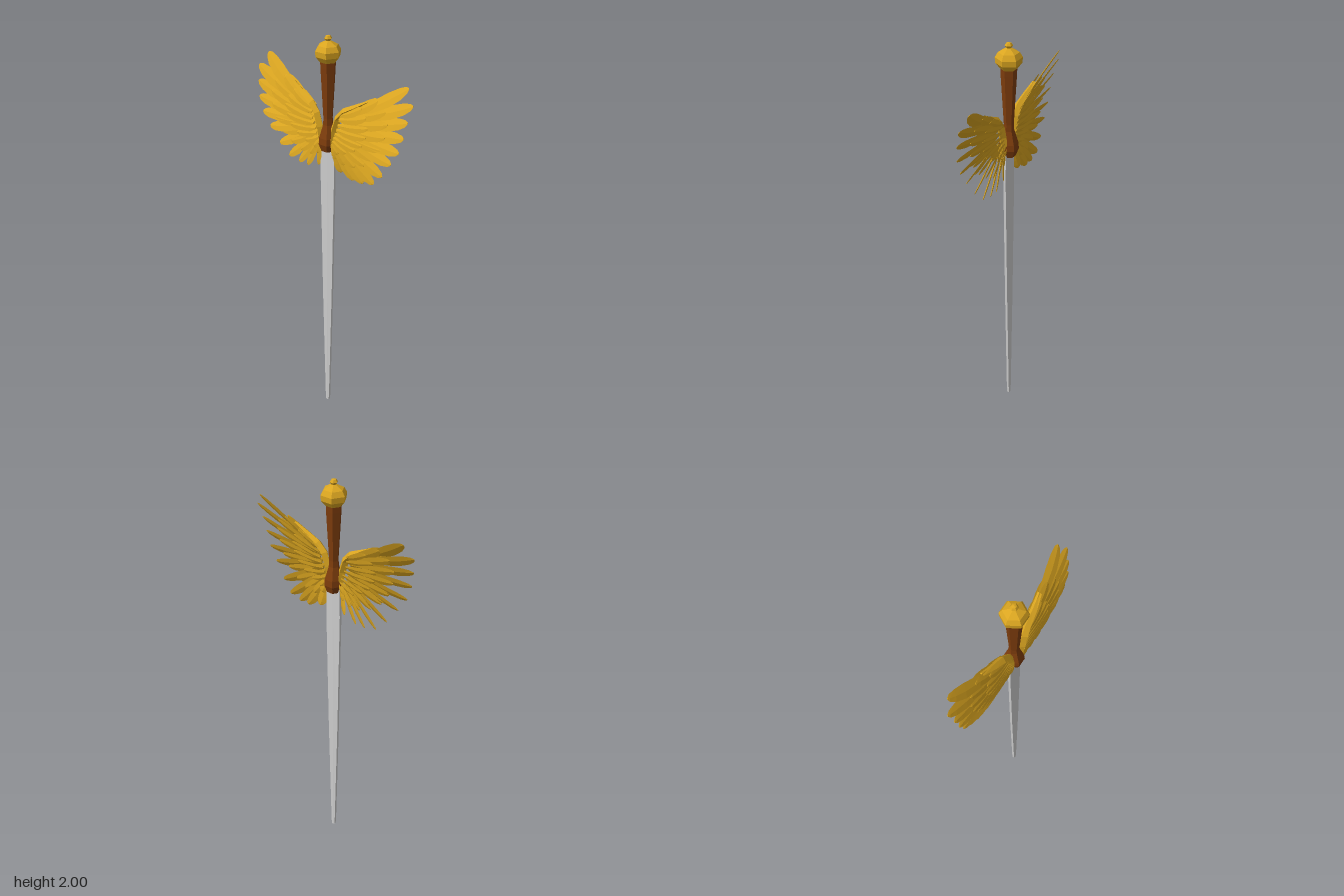
import * as THREE from 'three';
import { mergeGeometries } from 'three/addons/utils/BufferGeometryUtils.js';

const mat = (color) => new THREE.MeshStandardMaterial({ color, flatShading: true });
const v2 = (p) => new THREE.Vector2(p[0], p[1]);

// Closed skin over equal-sized rings of [x, y, z] corners, capped at both ends;
// corners run counter-clockwise when looking back from the last ring
function loft(rings) {
  const n = rings[0].length, pos = rings.flat(2), idx = [];
  for (let i = 0; i < rings.length - 1; i++) {
    for (let j = 0; j < n; j++) {
      const a = i * n + j, b = i * n + (j + 1) % n;
      idx.push(a, b, a + n, b, b + n, a + n);
    }
  }
  const last = (rings.length - 1) * n;
  for (let j = 1; j < n - 1; j++) {
    idx.push(0, j + 1, j, last, last + j, last + j + 1);
  }
  const g = new THREE.BufferGeometry();
  g.setAttribute('position', new THREE.Float32BufferAttribute(pos, 3));
  g.setIndex(idx);
  g.computeVertexNormals();
  return g;
}

// The wing surface sweeps sideways towards its top and bottom
const sweep = (y) => -0.008 + (y > 1.6 ? 0.9 : 0.4) * (y - 1.6) ** 2;

const FEATHER = [[0, 0.4], [0.35, 0.85], [0.65, 1], [0.85, 0.82], [0.96, 0.5], [1, 0.15]];
const ARM = [[0, 0.8], [0.2, 1], [0.4, 1], [0.6, 0.95], [0.8, 0.75], [1, 0.3]];

// Lens-section strip along a (z, y) curve; side = 1 or -1 picks the wing
function strip(curve, side, { width, thick, lift = 0, tilt = 0, profile = FEATHER }) {
  return loft(profile.map(([t, w]) => {
    const p = curve.getPoint(t), d = curve.getTangent(t);
    const hw = width * w, ht = thick * (0.3 + 0.7 * w) * side;
    const x = sweep(p.y) + lift;
    const edge = (k) => [x + tilt * w * k, p.y + d.x * hw * k, (p.x - d.y * hw * k) * side];
    const ridge = (k) => [x + ht * k, p.y, p.x * side];
    return [edge(1), ridge(-1), edge(-1), ridge(1)];
  }));
}

// Feathers fanned from a base curve to a tip curve, twisted like louvres
function featherRow(bases, tips, count, side, opts) {
  const b = new THREE.SplineCurve(bases.map(v2)), e = new THREE.SplineCurve(tips.map(v2));
  const out = [];
  for (let i = 0; i < count; i++) {
    const u = i / (count - 1), p = b.getPoint(u), q = e.getPoint(u);
    const d = q.clone().sub(p);
    // each quill bows slightly downward
    const mid = p.clone().lerp(q, 0.5).add(new THREE.Vector2(-d.y, d.x).multiplyScalar(-0.06));
    const curve = new THREE.QuadraticBezierCurve(p, mid, q);
    out.push(strip(curve, side, { ...opts, width: opts.width * (1.15 - 0.25 * u), tilt: opts.tilt * (1.2 - 0.5 * u) }));
  }
  return mergeGeometries(out);
}

export function createModel() {
  const model = new THREE.Group();
  const gold = mat(0xdaa520), wood = mat(0x7d3c0c), steel = mat(0xcccccc);
  const add = (name, geo, material, parent = model) => {
    const m = new THREE.Mesh(geo, material);
    m.name = name;
    parent.add(m);
  };
  const lathe = (pts) => new THREE.LatheGeometry(pts.map(v2), 6);

  // Blade: long flat bar with a faint central ridge, tapering to a blunt point
  add('blade', loft([[0, 0.008], [0.03, 0.011], [0.7, 0.028], [1.35, 0.04], [1.5, 0.037]].map(([y, w]) =>
    [[0.008, y, 0], [0.006, y, -w], [-0.006, y, -w], [-0.008, y, 0], [-0.006, y, w], [0.006, y, w]])), steel);

  // Hexagonal grip that flares into the hilt block
  add('grip', lathe([[0, 1.47], [0.032, 1.475], [0.045, 1.51], [0.043, 1.54], [0.024, 1.6],
    [0.022, 1.63], [0.035, 1.86], [0.036, 1.89], [0, 1.89]]), wood);

  // Faceted pommel with a small finial
  add('pommel', lathe([[0, 1.883], [0.036, 1.885], [0.057, 1.91], [0.059, 1.935], [0.046, 1.957],
    [0.02, 1.971], [0.011, 1.976], [0.018, 1.986], [0.011, 1.997], [0, 2]]), gold);

  // Wings
  const armCurve = new THREE.SplineCurve([[0.032, 1.51], [0.045, 1.6], [0.075, 1.665], [0.13, 1.7], [0.21, 1.75]].map(v2));
  const rows = {
    flightFeathers: [[[0.15, 1.69], [0.12, 1.62], [0.07, 1.55], [0.045, 1.5]],
      [[0.39, 1.84], [0.43, 1.78], [0.42, 1.71], [0.41, 1.64], [0.39, 1.57], [0.35, 1.505], [0.3, 1.43],
        [0.25, 1.375], [0.19, 1.36], [0.14, 1.36], [0.07, 1.38]], 11],
    longCoverts: [[[0.11, 1.68], [0.09, 1.61], [0.06, 1.55], [0.04, 1.51]],
      [[0.26, 1.765], [0.32, 1.72], [0.325, 1.65], [0.305, 1.57], [0.26, 1.5], [0.19, 1.45], [0.12, 1.43], [0.06, 1.45]], 10],
    shortCoverts: [[[0.08, 1.665], [0.07, 1.61], [0.05, 1.56], [0.035, 1.52]],
      [[0.19, 1.72], [0.23, 1.67], [0.23, 1.61], [0.2, 1.55], [0.14, 1.51], [0.07, 1.48]], 8],
  };
  for (const side of [1, -1]) {
    const wing = new THREE.Group();
    wing.name = side > 0 ? 'frontWing' : 'backWing';
    add('wingArm', strip(armCurve, side, { width: 0.018, thick: 0.02, profile: ARM }), gold, wing);
    const row = (name, key, opts) => add(name, featherRow(...rows[key], side, opts), gold, wing);
    row('flightFeathers', 'flightFeathers', { width: 0.024, thick: 0.004, tilt: 0.014 });
    // coverts lie on both faces of the wing
    for (const face of [1, -1]) {
      const label = face > 0 ? 'Outer' : 'Inner';
      row('longCoverts' + label, 'longCoverts', { width: 0.021, thick: 0.004, lift: 0.008 * face, tilt: 0.009 });
      row('shortCoverts' + label, 'shortCoverts', { width: 0.018, thick: 0.004, lift: 0.014 * face, tilt: 0.007 });
    }
    model.add(wing);
  }
  return model;
}
